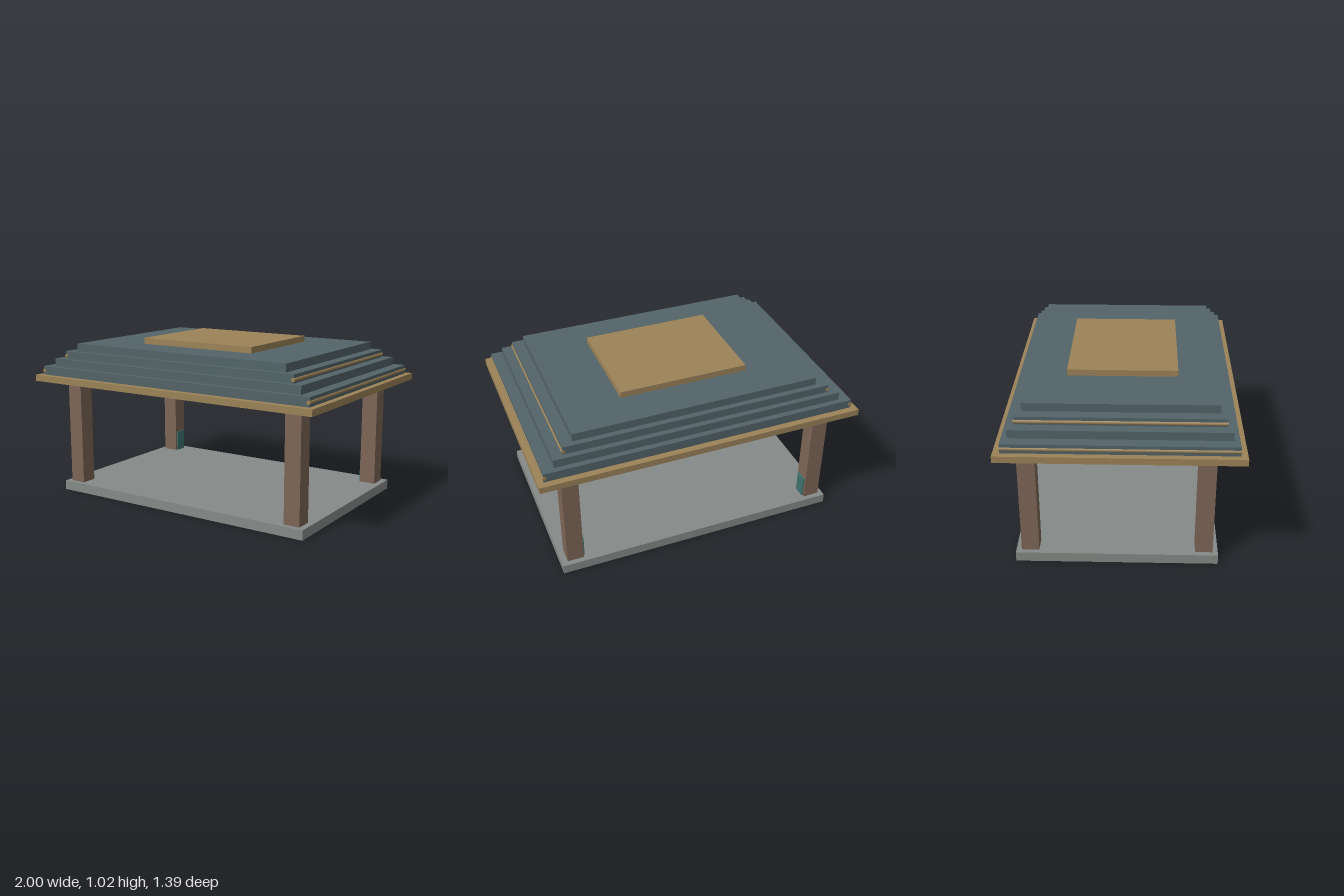
import * as THREE from 'three';

const mat = (color) => new THREE.MeshStandardMaterial({ color });

export function createModel() {
  const model = new THREE.Group();
  const stone = mat(0x858a87), wood = mat(0x7d6656), tan = mat(0x9c8358);
  const slate = mat(0x536468), teal = mat(0x3f7370);

  // Box given by its centre in x and z, its bottom and its top
  function box(name, material, x, z, width, depth, y0, y1) {
    const mesh = new THREE.Mesh(new THREE.BoxGeometry(width, y1 - y0, depth), material);
    mesh.name = name;
    mesh.position.set(x, (y0 + y1) / 2, z);
    model.add(mesh);
  }

  // Floor slab, set slightly to the back
  box('floorSlab', stone, 0, -0.022, 1.784, 1.19, 0, 0.06);

  // Corner posts, with a low panel on the inner face of the back pair
  for (const [side, x] of [['left', 0.804], ['right', -0.81]]) {
    box(side + 'FrontPost', wood, x, 0.491, 0.102, 0.102, 0.01, 0.75);
    box(side + 'BackPost', wood, x, -0.533, 0.102, 0.104, 0.01, 0.75);
    box(side + 'PostPanel', teal, x - Math.sign(x) * 0.052, -0.533, 0.016, 0.075, 0.06, 0.2);
  }

  // Eave board, stepped roof tiers and cap
  box('eaveBoard', tan, 0, 0, 2, 1.392, 0.74, 0.78);
  const tiers = [
    [0.963, 0.656, 0.78, 0.835],
    [0.893, 0.622, 0.835, 0.885],
    [0.829, 0.589, 0.885, 0.934],
    [0.761, 0.555, 0.934, 0.983],
  ];
  tiers.forEach(([hx, hz, y0, y1], i) =>
    box('roofTier' + (i + 1), slate, 0, 0, hx * 2, hz * 2, y0, y1));
  box('roofCap', tan, 0, 0, 0.8, 0.652, 0.983, 1.021);

  // Round trim rods along the sides of the first and third tiers
  for (const [x, y, length] of [[0.957, 0.806, 1.32], [0.825, 0.904, 1.184]]) {
    const geometry = new THREE.CylinderGeometry(0.012, 0.012, length, 8).rotateX(Math.PI / 2);
    for (const s of [-1, 1]) {
      const rod = new THREE.Mesh(geometry, tan);
      rod.name = 'trimRod';
      rod.position.set(s * x, y, 0);
      model.add(rod);
    }
  }
  return model;
}
